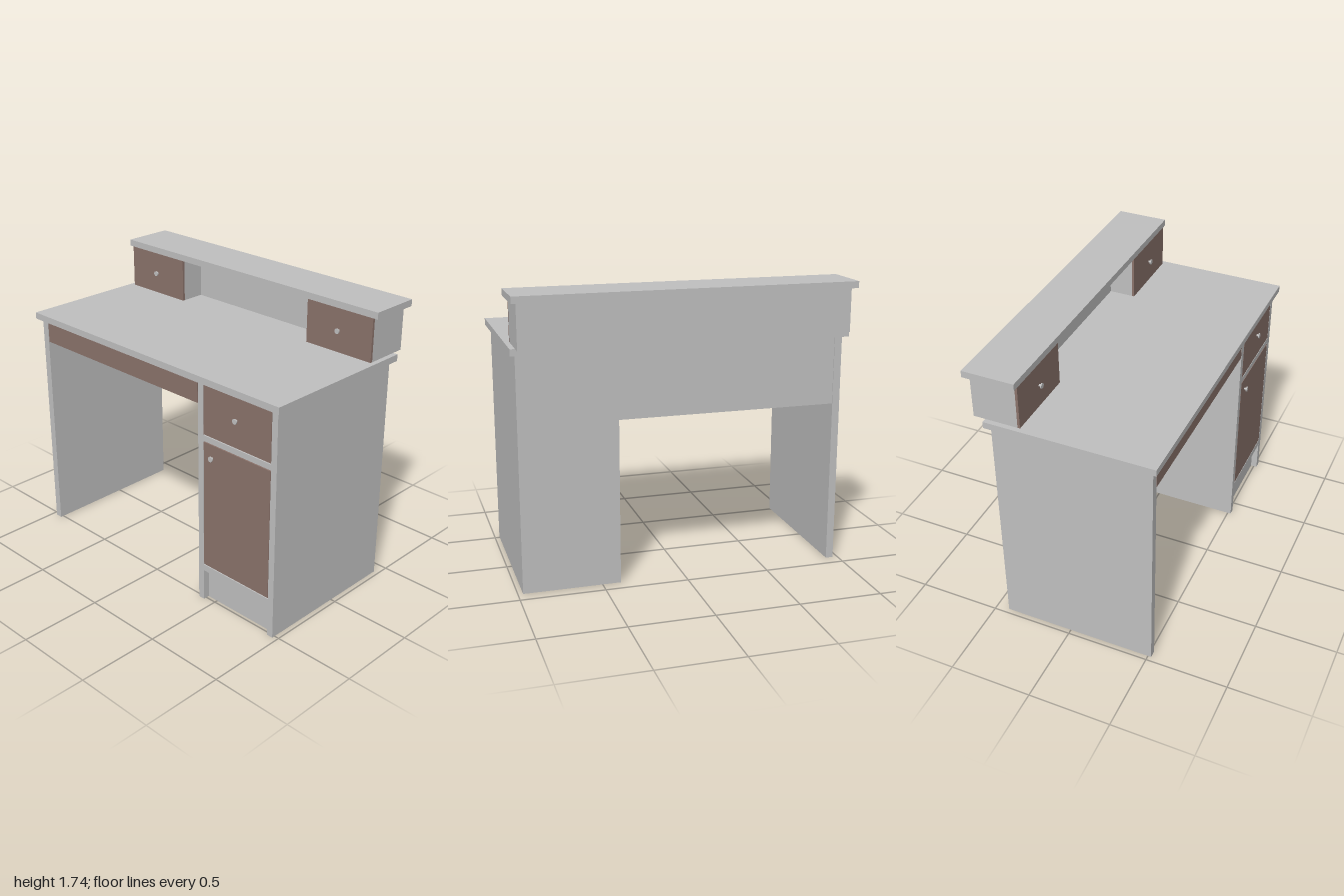
import * as THREE from 'three';

export function createModel() {
  const desk = new THREE.Group();
  desk.name = 'desk';

  const grey = new THREE.MeshStandardMaterial({ color: 0xc0c0c0 });
  grey.name = 'light grey board';
  const brown = new THREE.MeshStandardMaterial({ color: 0x8b736b });
  brown.name = 'brown front';

  // Box given by its limits along each axis
  function board(name, [x0, x1], [y0, y1], [z0, z1], material = grey) {
    const mesh = new THREE.Mesh(new THREE.BoxGeometry(x1 - x0, y1 - y0, z1 - z0), material);
    mesh.position.set((x0 + x1) / 2, (y0 + y1) / 2, (z0 + z1) / 2);
    mesh.name = name;
    desk.add(mesh);
  }

  // Small knob: a thin stem with a flat cap
  function knob(name, x, y, z) {
    const group = new THREE.Group();
    group.name = name;
    for (const [radius, length, offset] of [[0.007, 0.014, 0.006], [0.016, 0.007, 0.016]]) {
      const part = new THREE.Mesh(new THREE.CylinderGeometry(radius, radius, length, 12), grey);
      part.rotation.x = Math.PI / 2;
      part.position.z = offset;
      group.add(part);
    }
    group.position.set(x, y, z);
    desk.add(group);
  }

  const front = 0.52, back = -0.42, depth = [back, front];

  // Worktop and upright panels
  board('worktop', [-1, 1], [1.4, 1.44], [-0.45, 0.55]);
  board('rightLegPanel', [-0.97, -0.925], [0, 1.4], depth);
  board('pedestalInnerPanel', [0.39, 0.43], [0, 1.4], depth);
  board('pedestalOuterPanel', [0.93, 0.97], [0, 1.4], depth);
  board('modestyPanel', [-0.925, 0.39], [0.99, 1.4], [back + 0.005, back + 0.045]);

  // Wide drawer under the worktop
  board('wideDrawerBox', [-0.925, 0.39], [1.265, 1.4], [back + 0.045, front - 0.015]);
  board('wideDrawerFront', [-0.92, 0.385], [1.26, 1.4], [front - 0.015, front], brown);

  // Pedestal: body, recessed plinth, rails, drawer and door
  board('pedestalBody', [0.43, 0.93], [0.2, 1.4], [back, front - 0.015]);
  board('plinth', [0.43, 0.93], [0, 0.2], [back, front - 0.04]);
  board('lowerRail', [0.43, 0.93], [0.2, 0.24], [front - 0.015, front]);
  board('middleRail', [0.43, 0.93], [1.045, 1.08], [front - 0.015, front]);
  board('pedestalDrawerFront', [0.433, 0.927], [1.086, 1.398], [front - 0.015, front], brown);
  board('pedestalDoor', [0.433, 0.927], [0.246, 1.039], [front - 0.015, front], brown);
  knob('pedestalDrawerKnob', 0.68, 1.25, front);
  knob('pedestalDoorKnob', 0.5, 0.96, front);

  // Raised shelf unit overhanging the back edge
  board('shelfTop', [-1, 1], [1.7, 1.74], [-0.55, -0.24]);
  board('shelfBack', [-0.51, 0.51], [1.44, 1.7], [-0.52, -0.4]);
  for (const side of [-1, 1]) {
    const label = side > 0 ? 'left' : 'right';
    const span = side > 0 ? [0.51, 0.97] : [-0.97, -0.51];
    board(label + 'ShelfBox', span, [1.44, 1.7], [-0.52, -0.255]);
    board(label + 'ShelfDrawerFront', span, [1.44, 1.7], [-0.255, -0.24], brown);
    knob(label + 'ShelfKnob', side * 0.74, 1.57, -0.24);
  }

  return desk;
}
